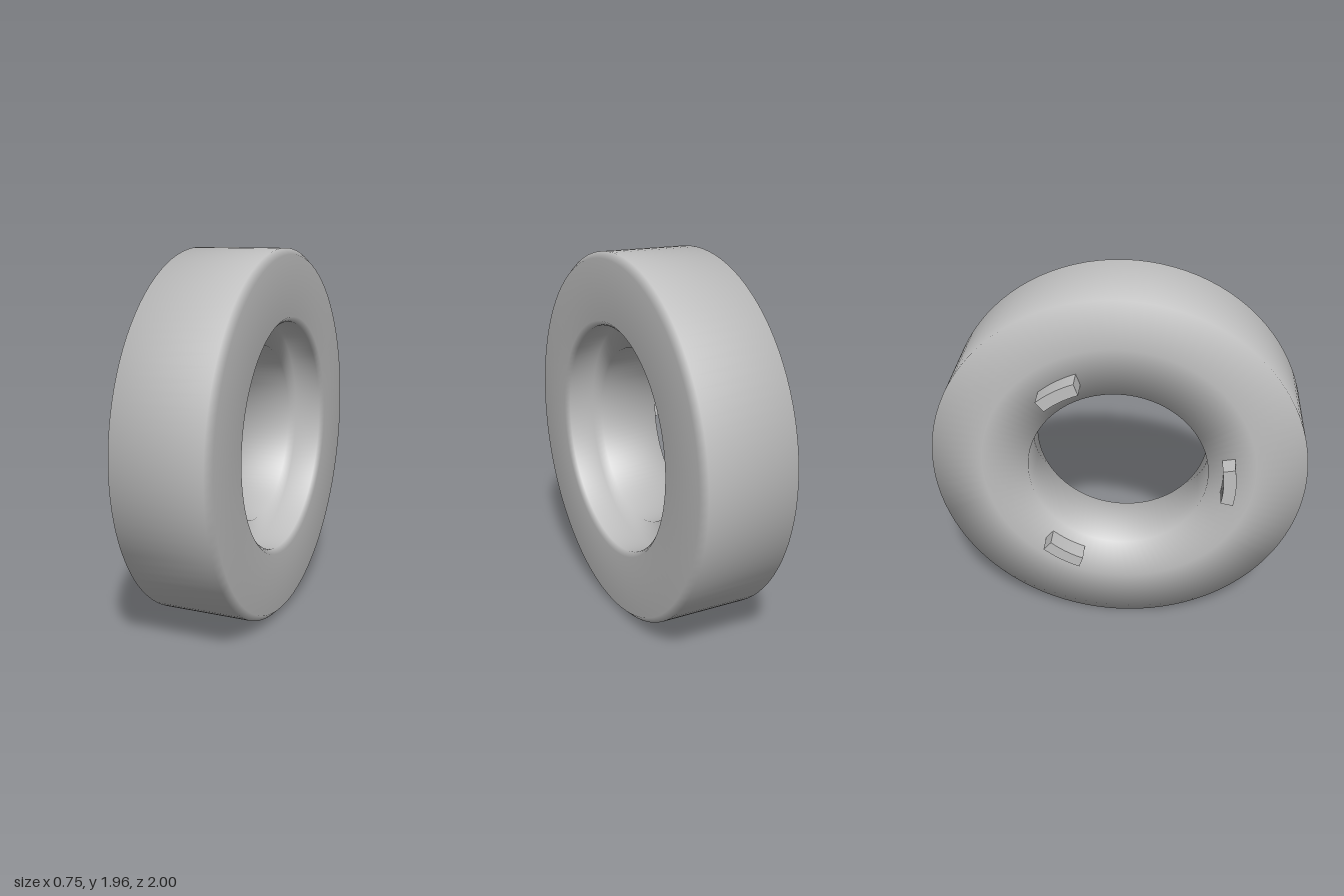
import * as THREE from 'three';

export function createModel() {
  const model = new THREE.Group();
  const grey = new THREE.MeshStandardMaterial({ color: 0xc0c0c0 });
  grey.name = 'light grey';

  // Ring axis runs along local x, turned about 5 degrees around y
  const ring = new THREE.Group();
  ring.name = 'ring';
  ring.position.y = 0.982;
  ring.rotation.y = -0.087;
  model.add(ring);

  // Body: chamfered rim, counterbore and through hole, softly shaded (radius, axial)
  const profile = [
    [0.72, -0.226], [0.982, -0.226], [0.982, 0.255], [0.95, 0.288],
    [0.63, 0.288], [0.605, 0.263], [0.605, 0.12],
    [0.472, 0.12], [0.472, -0.226], [0.72, -0.226],
  ].map(([r, a]) => new THREE.Vector2(r, a));
  const body = new THREE.Mesh(new THREE.LatheGeometry(profile, 96), grey);
  body.name = 'ringBody';
  body.rotation.z = -Math.PI / 2;
  ring.add(body);

  // Three curved lugs on the back face
  const half = 0.182;
  for (let i = 0; i < 3; i++) {
    const mid = Math.PI + (i * Math.PI * 2) / 3;
    const arc = new THREE.Shape();
    arc.absarc(0, 0, 0.615, mid - half, mid + half, false);
    arc.absarc(0, 0, 0.55, mid + half, mid - half, true);
    arc.closePath();
    const lug = new THREE.Mesh(
      new THREE.ExtrudeGeometry(arc, { depth: 0.12, bevelEnabled: false, curveSegments: 8 }),
      grey
    );
    lug.name = 'backLug' + (i + 1);
    lug.rotation.y = Math.PI / 2;
    lug.position.x = -0.328;
    ring.add(lug);
  }
  return model;
}
